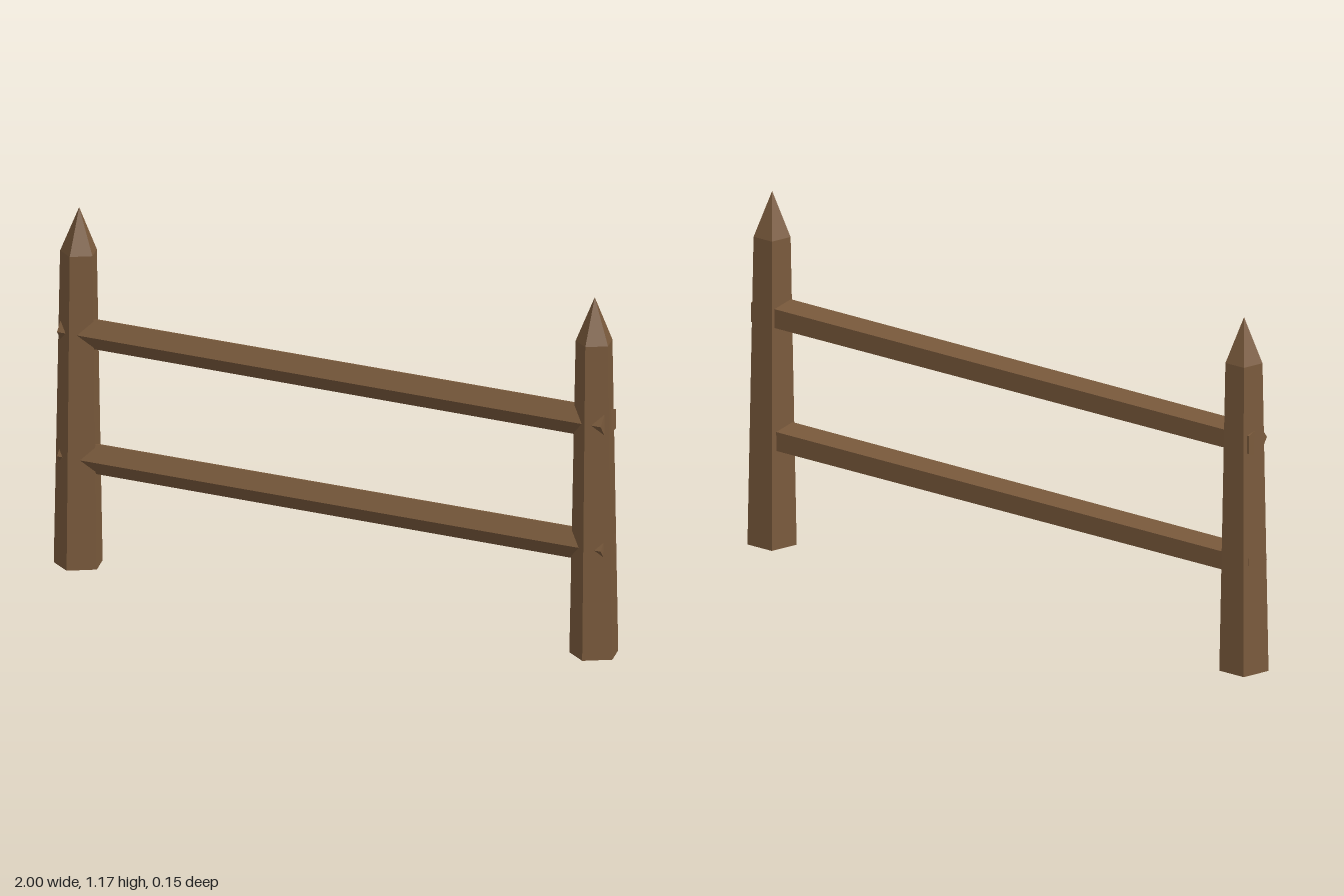
import * as THREE from 'three';

const SIDES = 5;
const CENTRE_Z = -0.007;

export function createModel() {
  const wood = new THREE.MeshStandardMaterial({ color: 0x7a5a3c, flatShading: true });
  wood.name = 'brown wood';

  const fence = new THREE.Group();
  fence.name = 'fence';

  const add = (parent, name, geometry, x, y, z) => {
    const mesh = new THREE.Mesh(geometry, wood);
    mesh.name = name;
    mesh.position.set(x, y, z);
    parent.add(mesh);
  };

  // Tapered five-sided posts with pointed tips, one edge facing the front
  const bodyHeight = 1.028;
  const tipHeight = 0.147;
  const topRadius = 0.061;
  for (const [side, x] of [['left', 0.923], ['right', -0.923]]) {
    const post = new THREE.Group();
    post.name = side + 'Post';
    post.position.set(x, 0, CENTRE_Z);
    add(post, 'postBody', new THREE.CylinderGeometry(topRadius, 0.081, bodyHeight, SIDES), 0, bodyHeight / 2, 0);
    add(post, 'postTip', new THREE.ConeGeometry(topRadius, tipHeight, SIDES, 1, true), 0, bodyHeight + tipHeight / 2, 0);
    fence.add(post);
  }

  // Five-sided rails, slightly thicker at the left end, poking through the posts
  for (const [name, y] of [['upperRail', 0.77], ['lowerRail', 0.36]]) {
    const rail = new THREE.CylinderGeometry(0.0538, 0.0512, 1.948, SIDES);
    rail.rotateZ(-Math.PI / 2);
    add(fence, name, rail, 0, y, CENTRE_Z);
  }

  return fence;
}
